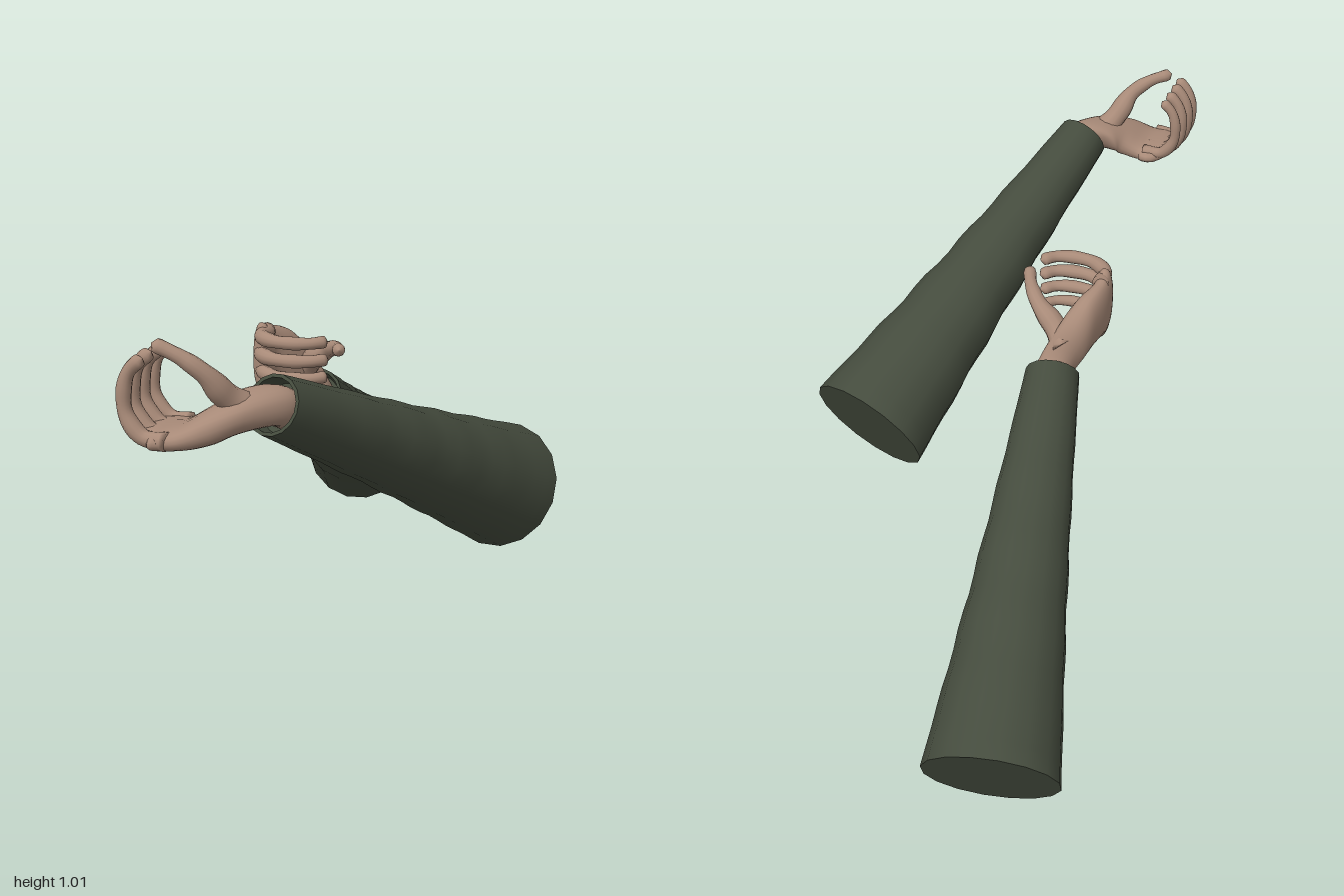
import * as THREE from 'three';
import { toCreasedNormals } from 'three/addons/utils/BufferGeometryUtils.js';

const V = (x, y, z) => new THREE.Vector3(x, y, z);

// Closed skin over a list of equal-length rings of points
function loft(rings, flip = false) {
  const n = rings[0].length, pos = [], idx = [];
  const tri = (a, b, c) => (flip ? idx.push(a, c, b) : idx.push(a, b, c));
  rings.forEach(r => r.forEach(p => pos.push(p.x, p.y, p.z)));
  for (let i = 0; i < rings.length - 1; i++) {
    for (let j = 0; j < n; j++) {
      const a = i * n + j, b = i * n + (j + 1) % n;
      tri(a, b, a + n);
      tri(b, b + n, a + n);
    }
  }
  const last = (rings.length - 1) * n;
  for (let j = 1; j < n - 1; j++) {
    tri(0, j + 1, j);
    tri(last, last + j, last + j + 1);
  }
  const g = new THREE.BufferGeometry();
  g.setAttribute('position', new THREE.Float32BufferAttribute(pos, 3));
  g.setIndex(idx);
  g.computeVertexNormals();
  return g;
}

// Tapered finger with soft joints and a round tip
function digit(points, r0, r1) {
  const curve = new THREE.CatmullRomCurve3(points), steps = 28, sides = 12;
  const frames = curve.computeFrenetFrames(steps);
  const len = curve.getLength();
  const rings = [];
  for (let i = 0; i <= steps; i++) {
    const t = i / steps, left = (1 - t) * len;
    let r = THREE.MathUtils.lerp(r0, r1, Math.min(1, t * 1.4));
    r *= 1 + 0.06 * Math.cos(t * Math.PI * 6);
    if (left < r) r *= Math.sqrt(Math.max(0.002, 1 - (1 - left / r) ** 2));
    const c = curve.getPointAt(t);
    rings.push(Array.from({ length: sides }, (_, j) => {
      const a = j / sides * Math.PI * 2;
      return c.clone().addScaledVector(frames.normals[i], r * Math.cos(a))
        .addScaledVector(frames.binormals[i], r * Math.sin(a));
    }));
  }
  return loft(rings);
}

// Palm and wrist. Local axes: x toward knuckles, y out of the palm, z toward the thumb side
function palm(wrist, dir, toWorld, flip) {
  const bend = dir.clone().add(V(1, -0.1, 0));
  const sections = [
    [wrist.clone().addScaledVector(dir, -0.07), dir, 0.046, 0.043],
    [wrist, dir, 0.05, 0.045],
    [V(-0.12, -0.055, -0.055), bend, 0.064, 0.043],
    [V(-0.075, -0.077, -0.015), V(1, -0.25, 0.1), 0.077, 0.036],
    [V(-0.02, -0.096, 0), V(1, -0.1, 0), 0.08, 0.027],
    [V(0.03, -0.094, 0.003), V(1, 0.25, 0), 0.08, 0.022],
    [V(0.052, -0.085, 0.003), V(1, 0.4, 0), 0.07, 0.009],
  ];
  const centres = [], widths = [], thicks = [];
  for (const [c, d0, w, t] of sections) {
    const d = d0.clone().normalize(), side = V(-d.z, 0, d.x).normalize();
    centres.push(c);
    widths.push(side.clone().multiplyScalar(w));
    thicks.push(side.clone().cross(d).multiplyScalar(t));
  }
  const [cc, wc, tc] = [centres, widths, thicks].map(p => new THREE.CatmullRomCurve3(p));
  const soft = v => Math.sign(v) * Math.abs(v) ** 0.85;
  const rings = [];
  for (let i = 0; i <= 30; i++) {
    const c = cc.getPoint(i / 30), w = wc.getPoint(i / 30), t = tc.getPoint(i / 30);
    rings.push(Array.from({ length: 24 }, (_, j) => {
      const a = j / 24 * Math.PI * 2;
      return toWorld(c.clone().addScaledVector(t, soft(Math.cos(a))).addScaledVector(w, soft(Math.sin(a))));
    }));
  }
  return loft(rings, flip);
}

// Tapered, slightly rumpled sleeve with a closed upper end and a hollow cuff
function sleeve(start, end, seed) {
  const L = start.distanceTo(end), profile = [new THREE.Vector2(0, 0)], steps = 22;
  for (let i = 0; i <= steps; i++) {
    const t = i / steps;
    profile.push(new THREE.Vector2(0.164 - 0.095 * t - 0.006 * Math.sin(t * Math.PI), t * L));
  }
  profile.push(new THREE.Vector2(0.061, L), new THREE.Vector2(0.058, L - 0.05), new THREE.Vector2(0, L - 0.055));
  const g = new THREE.LatheGeometry(profile, 16), p = g.attributes.position;
  for (let i = 0; i < p.count; i++) {
    const x = p.getX(i), y = p.getY(i), z = p.getZ(i), t = y / L;
    const ang = Math.atan2(z, x);
    const fade = Math.sin(Math.PI * Math.min(1, Math.max(0, t)));
    const k = 1 + 0.028 * fade * Math.sin(t * 36 + seed + 1.3 * Math.sin(ang)) * (0.7 + 0.3 * Math.cos(2 * ang + seed));
    p.setX(i, x * k);
    p.setZ(i, z * k);
  }
  const out = toCreasedNormals(g, 0.7);
  out.applyQuaternion(new THREE.Quaternion().setFromUnitVectors(V(0, 1, 0), end.clone().sub(start).normalize()));
  out.translate(start.x, start.y, start.z);
  return out;
}

export function createModel() {
  const skin = new THREE.MeshStandardMaterial({ color: 0xa88a78 });
  skin.name = 'skin';
  const cloth = new THREE.MeshStandardMaterial({ color: 0x454c3e });
  cloth.name = 'sleeve cloth';
  const model = new THREE.Group();
  model.name = 'armsPair';

  // Each hand curls around an open ring centred on `ring`; u, n, a are its axes
  const arms = [
    { name: 'left', start: V(0.335, 0.385, -0.1), end: V(0.06, 0.845, 0.8), ring: V(-0.115, 0.895, 0.91),
      u: V(-1, 0, 0), n: V(0, 1, 0), a: V(0, 0, 1), flip: true, seed: 0.5 },
    { name: 'right', start: V(-0.335, 0.146, -0.92), end: V(-0.142, 0.615, 0), ring: V(-0.12, 0.745, 0.153),
      u: V(0, 0, 1), n: V(1, 0, 0), a: V(0, 1, 0), flip: false, seed: 2.6 },
  ];
  // Finger offset across the hand, size and thickness: index to little
  const fingers = [
    ['indexFinger', 0.07, 1, 0.0185], ['middleFinger', 0.025, 1.02, 0.019],
    ['ringFinger', -0.02, 0.99, 0.018], ['littleFinger', -0.062, 0.93, 0.016],
  ];
  const curl = [[-0.01, -0.094], [0.045, -0.088], [0.079, -0.045], [0.083, 0.01], [0.07, 0.052], [0.038, 0.084]];
  const thumb = [[-0.13, -0.045, -0.055], [-0.102, -0.004, -0.018], [-0.077, 0.044, 0.015], [-0.03, 0.083, 0.035], [0.028, 0.11, 0.046]];

  for (const arm of arms) {
    const group = new THREE.Group();
    group.name = arm.name + 'Arm';
    const add = (name, geo, mat) => {
      const m = new THREE.Mesh(geo, mat);
      m.name = name;
      group.add(m);
    };
    const toWorld = p => arm.ring.clone().addScaledVector(arm.u, p.x).addScaledVector(arm.n, p.y).addScaledVector(arm.a, p.z);
    const toLocal = v => V(v.dot(arm.u), v.dot(arm.n), v.dot(arm.a));

    add('sleeve', sleeve(arm.start, arm.end, arm.seed), cloth);
    const dir = toLocal(arm.end.clone().sub(arm.start).normalize());
    add('palm', palm(toLocal(arm.end.clone().sub(arm.ring)), dir, toWorld, arm.flip), skin);
    for (const [name, off, size, r] of fingers) {
      add(name, digit(curl.map(([x, y]) => toWorld(V(x * size, y * size, off))), r * 1.1, r * 0.85), skin);
    }
    add('thumb', digit(thumb.map(p => toWorld(V(...p))), 0.036, 0.0165), skin);
    model.add(group);
  }
  return model;
}
